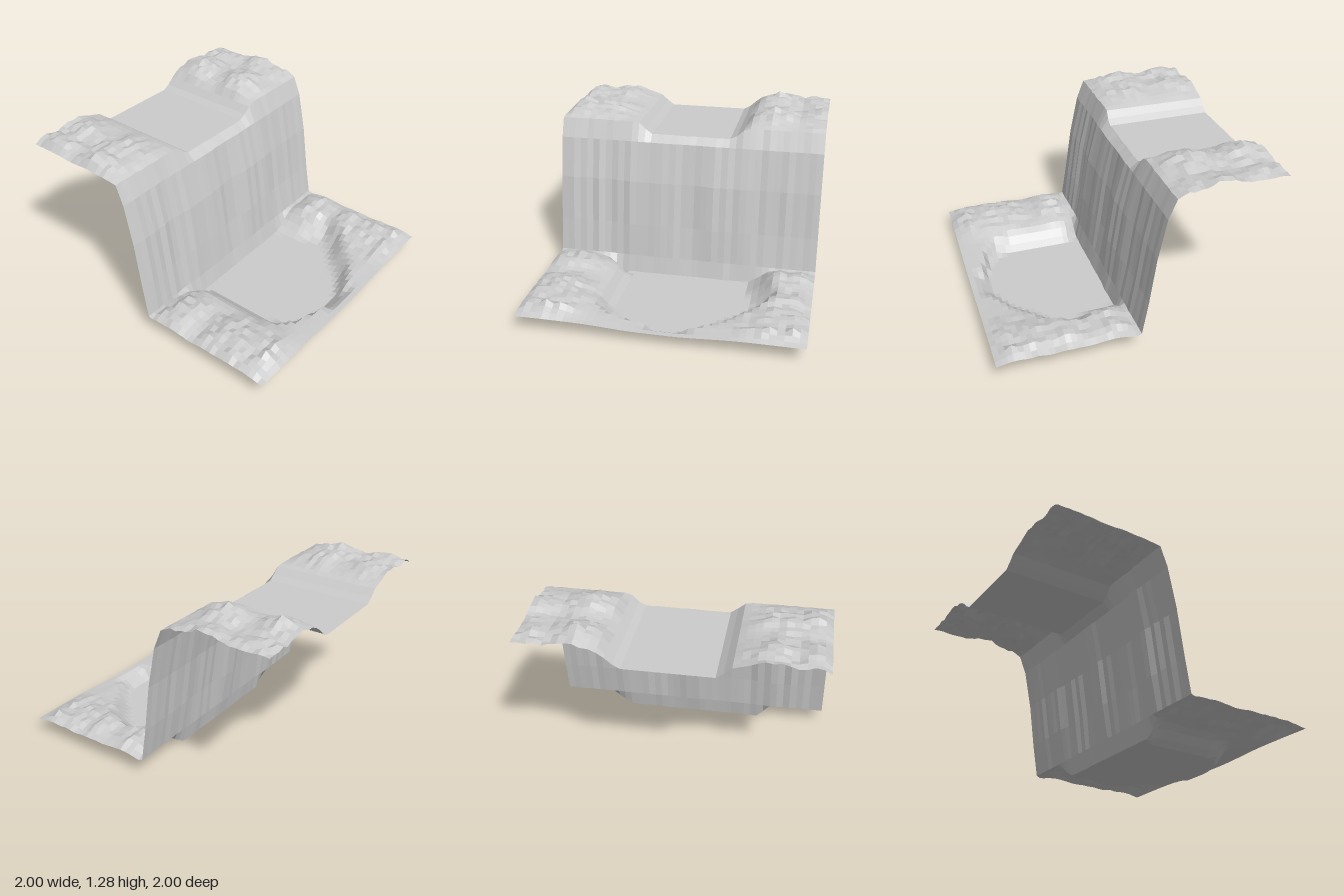
import * as THREE from 'three';

const COLS = 40;
const { lerp, clamp, smoothstep } = THREE.MathUtils;

// Repeatable pseudo-random value in 0..1 for a lattice point
function hash(i, j, seed) {
  const s = Math.sin(i * 127.1 + j * 311.7 + seed * 74.7) * 43758.5453;
  return s - Math.floor(s);
}

// Smooth value noise for rolling rock
function noise(x, z, seed) {
  const i = Math.floor(x), j = Math.floor(z);
  const u = smoothstep(x - i, 0, 1), v = smoothstep(z - j, 0, 1);
  return lerp(
    lerp(hash(i, j, seed), hash(i + 1, j, seed), u),
    lerp(hash(i, j + 1, seed), hash(i + 1, j + 1, seed), u), v);
}

// Piecewise linear lookup through [position, value] pairs
function along(points, t) {
  if (t <= points[0][0]) return points[0][1];
  for (let k = 1; k < points.length; k++) {
    const [a, va] = points[k - 1], [b, vb] = points[k];
    if (t <= b) return lerp(va, vb, (t - a) / (b - a));
  }
  return points[points.length - 1][1];
}

// Uneven rock factor, about 0.25 to 1.05
function rock(x, z, seed) {
  const grain = hash(Math.round(x * 20), Math.round(z * 25), seed + 5);
  return 0.25 + 0.5 * noise(x * 5, z * 5, seed) + 0.3 * grain;
}

// Upper plateau: flat river bed, sloped banks, rocky hills on both sides
const crossSection = [[-0.41, 1.16], [-0.31, 1.07], [0.32, 1.07], [0.42, 1.16]];
const upperHills = [
  [-1, 0.02], [-0.93, 0.11], [-0.85, 0.1], [-0.78, 0.075], [-0.7, 0.1], [-0.6, 0.09], [-0.5, 0.035], [-0.42, 0],
  [0.4, 0.01], [0.48, 0.07], [0.6, 0.11], [0.7, 0.09], [0.8, 0.065], [0.92, 0.1], [1, 0.09],
];
const upperRidge = [[-1, 0.85], [-0.83, 1.1], [-0.66, 0.6], [-0.5, 1.2], [-0.38, 0.9], [-0.28, 0.5], [-0.21, 0]];
function upperHeight(x, z) {
  const hill = Math.abs(x) < 0.4 ? 0 : along(upperHills, x);
  return along(crossSection, x) + hill * along(upperRidge, z) * rock(x, z, 1);
}

// Lower ground: plunge pool with a rounded front shore, rocky banks
const poolLeft = [[0.03, -0.5], [0.12, -0.41], [0.6, -0.41], [0.72, -0.37], [0.8, -0.28], [0.88, 0]];
const poolRight = [[0.03, 0.49], [0.2, 0.51], [0.4, 0.58], [0.52, 0.52], [0.62, 0.4], [0.75, 0.28], [0.88, 0.05]];
const lowerHills = [
  [-1, 0.03], [-0.94, 0.085], [-0.8, 0.11], [-0.7, 0.09], [-0.6, 0.05], [-0.48, 0.01],
  [0.48, 0.01], [0.6, 0.045], [0.74, 0.11], [0.83, 0.09], [0.9, 0.1], [1, 0.03],
];
const lowerRidge = [
  [0.03, 0.35], [0.1, 0.85], [0.2, 1.1], [0.3, 0.7], [0.38, 0.5],
  [0.5, 1.05], [0.6, 0.8], [0.7, 1.05], [0.78, 0.9], [0.88, 1.1], [1, 0.02],
];
function lowerHeight(x, z) {
  const beyond = Math.max(along(poolLeft, z) - x, x - along(poolRight, z));
  const shore = Math.max(clamp(beyond / (x < 0 ? 0.11 : 0.17), 0, 1), clamp((z - 0.84) / 0.11, 0, 1));
  const rim = lerp(0.09, 0.11, smoothstep(Math.abs(x), 0.1, 0.6));
  const hill = along(lowerHills, x) * smoothstep(beyond, 0.04, 0.18);
  return rim * shore + hill * along(lowerRidge, z) * rock(x, z, 2);
}

const columnX = (i) => -1 + (2 * i) / COLS;
const lipZ = (i) => -0.213 + 0.008 * (hash(i, 0, 8) - 0.5);
const footZ = (i) => 0.024 + 0.008 * (hash(i, 1, 8) - 0.5);

// Sheet of flat four-sided facets: rows run from back to front, point(i, j) gives a Vector3
function sheet(name, rows, point) {
  const positions = [], normals = [], index = [];
  const normal = new THREE.Vector3(), diagonal = new THREE.Vector3();
  for (let j = 0; j < rows; j++) {
    for (let i = 0; i < COLS; i++) {
      const corners = [point(i, j), point(i, j + 1), point(i + 1, j + 1), point(i + 1, j)];
      normal.subVectors(corners[2], corners[0]);
      diagonal.subVectors(corners[3], corners[1]);
      normal.cross(diagonal).normalize();
      const k = positions.length / 3;
      for (const c of corners) {
        positions.push(c.x, c.y, c.z);
        normals.push(normal.x, normal.y, normal.z);
      }
      index.push(k, k + 1, k + 2, k, k + 2, k + 3);
    }
  }
  const geometry = new THREE.BufferGeometry();
  geometry.setAttribute('position', new THREE.Float32BufferAttribute(positions, 3));
  geometry.setAttribute('normal', new THREE.Float32BufferAttribute(normals, 3));
  geometry.setIndex(index);
  const mesh = new THREE.Mesh(geometry, new THREE.MeshStandardMaterial({
    color: 0xcccccc, side: THREE.DoubleSide,
  }));
  mesh.name = name;
  return mesh;
}

export function createModel() {
  const group = new THREE.Group();
  group.name = 'waterfallTerrain';

  // River plateau at the top
  group.add(sheet('upperPlateau', 20, (i, j) => {
    const x = columnX(i);
    return new THREE.Vector3(x, upperHeight(x, lerp(-1, -0.21, j / 20)), lerp(-1, lipZ(i), j / 20));
  }));

  // Steep cliff joining the two levels, gently uneven from column to column
  const cliffRows = [[1.02, -0.155, 0.02], [0.72, -0.088, 0.045], [0.38, -0.04, 0.05], [0.13, -0.005, 0.015]];
  group.add(sheet('cliff', 5, (i, j) => {
    const x = columnX(i);
    if (j === 0) return new THREE.Vector3(x, upperHeight(x, -0.21), lipZ(i));
    if (j === 5) return new THREE.Vector3(x, lowerHeight(x, 0.03), footZ(i));
    const [y, z, swing] = cliffRows[j - 1];
    const wave = 0.65 * noise(x * 5, j * 0.4, 4) + 0.35 * hash(i, 0, 6) - 0.5;
    return new THREE.Vector3(x, y, z + swing * wave);
  }));

  // Pool and banks at the bottom
  group.add(sheet('lowerGround', 24, (i, j) => {
    const x = columnX(i);
    return new THREE.Vector3(x, lowerHeight(x, lerp(0.03, 1, j / 24)), lerp(footZ(i), 1, j / 24));
  }));

  return group;
}
